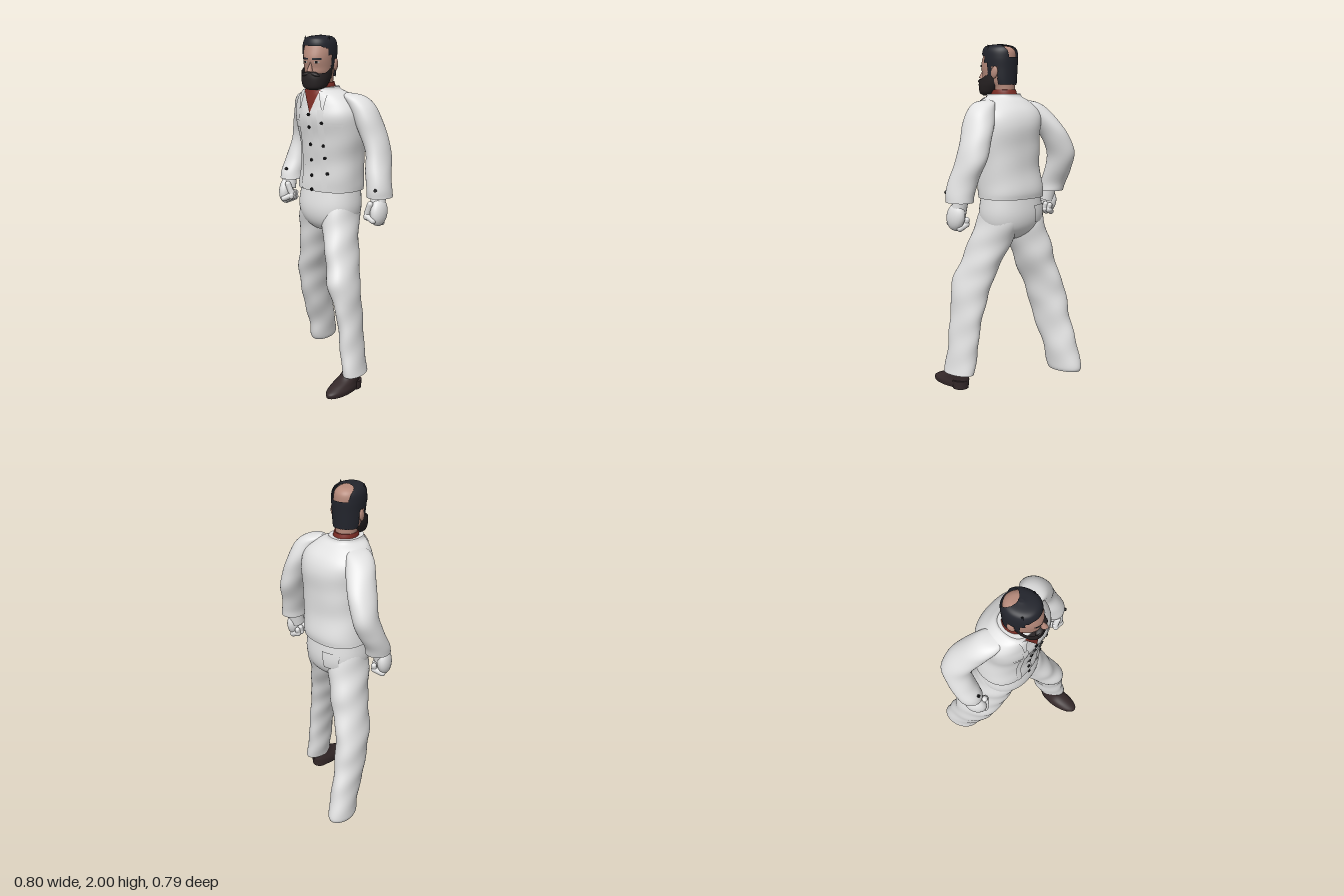
import * as THREE from 'three';

const mat = (name, color) => {
  const m = new THREE.MeshStandardMaterial({ color, side: THREE.DoubleSide });
  m.name = name;
  return m;
};

// Smooth skin over horizontal sections [x, y, z, halfWidth, halfDepth], listed bottom to top
function loft(rows, { yaw = 0, power = 2, fold = 0, seg = 40, steps = 6, keep = null } = {}) {
  const curve = f => new THREE.CatmullRomCurve3(rows.map(f), false, 'catmullrom');
  const centre = curve(r => new THREE.Vector3(r[0], r[1], r[2]));
  const radius = curve(r => new THREE.Vector3(r[3], r[4], 0));
  const n = (rows.length - 1) * steps, pos = [], index = [];
  const se = v => Math.sign(v) * Math.abs(v) ** (2 / power);
  for (let i = 0; i <= n; i++) {
    const c = centre.getPoint(i / n), r = radius.getPoint(i / n);
    for (let j = 0; j < seg; j++) {
      const a = j / seg * Math.PI * 2;
      const k = 1 + fold * (Math.sin(2 * a + c.y * 36) + 0.7 * Math.sin(3 * a - c.y * 21));
      const x = r.x * k * se(Math.cos(a)), z = r.y * k * se(Math.sin(a));
      pos.push(c.x + x * Math.cos(yaw) + z * Math.sin(yaw), c.y, c.z - x * Math.sin(yaw) + z * Math.cos(yaw));
      if (i < n) {
        const A = i * seg + j, B = i * seg + (j + 1) % seg, C = A + seg, D = B + seg;
        index.push(A, C, B, B, C, D);
      }
    }
  }
  // end caps on their own vertices, so the rims stay sharp
  for (const [i, flip] of [[0, false], [n, true]]) {
    const base = pos.length / 3;
    pos.push(...pos.slice(i * seg * 3, (i + 1) * seg * 3), ...centre.getPoint(i / n).toArray());
    for (let j = 0; j < seg; j++) {
      const a = base + j, b = base + (j + 1) % seg;
      index.push(...(flip ? [a, base + seg, b] : [a, b, base + seg]));
    }
  }
  const kept = [];
  for (let t = 0; t < index.length; t += 3) {
    const tri = index.slice(t, t + 3);
    const mid = d => (pos[tri[0] * 3 + d] + pos[tri[1] * 3 + d] + pos[tri[2] * 3 + d]) / 3;
    if (!keep || keep(mid(0), mid(1), mid(2))) kept.push(...tri);
  }
  const g = new THREE.BufferGeometry();
  g.setAttribute('position', new THREE.Float32BufferAttribute(pos, 3));
  g.setIndex(kept);
  g.computeVertexNormals();
  return g;
}

// Nearest surface point seen from the front (dir 1) or the back (dir -1)
function touch(mesh, x, y, dir = 1) {
  const ray = new THREE.Raycaster(new THREE.Vector3(x, y, 2 * dir), new THREE.Vector3(0, 0, -dir));
  return ray.intersectObject(mesh)[0];
}

// Thin sheet laid on a mesh between two side lines
function drape(mesh, y0, y1, left, right, { dir = 1, lift = 0.005 } = {}) {
  const g = new THREE.PlaneGeometry(1, 1, 8, 10), p = g.attributes.position;
  for (let i = 0; i < p.count; i++) {
    const u = p.getX(i) + 0.5, v = p.getY(i) + 0.5;
    const x = (dir > 0 ? left(v) * (1 - u) + right(v) * u : right(v) * (1 - u) + left(v) * u);
    const y = y0 + (y1 - y0) * v, hit = touch(mesh, x, y, dir);
    p.setXYZ(i, x, y, (hit ? hit.point.z : 0.1 * dir) + lift * dir);
  }
  g.computeVertexNormals();
  return g;
}

export function createModel() {
  const model = new THREE.Group();
  const white = mat('white cloth', 0xe2e2e2), skin = mat('skin', 0xb68a7b), hairCol = mat('hair', 0x23252d);
  const beardCol = mat('beard', 0x272223), red = mat('red scarf', 0x7c2d25), leather = mat('boot leather', 0x35292a);
  const dark = mat('button black', 0x151517), eyeWhite = mat('eye white', 0xb9b0aa);
  const add = (name, g, m, parent = model) => {
    const mesh = new THREE.Mesh(g, m);
    mesh.name = name;
    parent.add(mesh);
    return mesh;
  };
  const put = (mesh, x, y, z, sx = 1, sy = 1, sz = 1) => {
    mesh.position.set(x, y, z);
    mesh.scale.set(sx, sy, sz);
    return mesh;
  };

  // Jacket body, turned slightly to its right
  const torso = add('jacket', loft([
    [-0.025, 1.13, -0.02, 0.197, 0.157], [-0.02, 1.18, -0.02, 0.198, 0.158], [-0.01, 1.3, -0.01, 0.19, 0.15],
    [-0.005, 1.43, 0, 0.2, 0.158], [-0.01, 1.55, 0.008, 0.215, 0.167], [-0.02, 1.62, 0.012, 0.2, 0.15],
    [-0.035, 1.675, 0.03, 0.15, 0.117], [-0.045, 1.7, 0.04, 0.1, 0.1], [-0.046, 1.718, 0.043, 0.088, 0.095],
  ], { yaw: -0.3, power: 2.3, fold: 0.008, seg: 64 }), white);

  // Trousers: seat and striding legs
  const seat = add('trouserSeat', loft([
    [-0.02, 0.875, 0, 0.02, 0.02], [-0.02, 0.9, 0, 0.09, 0.09], [-0.025, 0.95, -0.01, 0.165, 0.14], [-0.028, 1.03, -0.015, 0.192, 0.158],
    [-0.025, 1.15, -0.02, 0.182, 0.145],
  ], { yaw: -0.3, power: 2.2 }), white);
  add('leftTrouserLeg', loft([
    [0.228, 0.095, 0.18, 0.062, 0.1], [0.21, 0.2, 0.172, 0.063, 0.1], [0.2, 0.3, 0.167, 0.062, 0.1],
    [0.185, 0.4, 0.16, 0.065, 0.104], [0.168, 0.5, 0.155, 0.07, 0.113], [0.14, 0.62, 0.15, 0.085, 0.13],
    [0.115, 0.72, 0.113, 0.088, 0.127], [0.092, 0.82, 0.08, 0.09, 0.132], [0.065, 0.93, 0.035, 0.1, 0.137],
    [0.053, 1.03, 0, 0.103, 0.135], [0.045, 1.12, -0.005, 0.095, 0.115],
  ], { fold: 0.024 }), white);
  add('rightTrouserLeg', loft([
    [-0.213, 0.082, -0.285, 0.064, 0.104], [-0.213, 0.11, -0.281, 0.072, 0.111], [-0.21, 0.2, -0.26, 0.073, 0.109], [-0.211, 0.3, -0.225, 0.076, 0.115],
    [-0.211, 0.4, -0.19, 0.08, 0.12], [-0.205, 0.5, -0.165, 0.085, 0.125], [-0.197, 0.6, -0.138, 0.088, 0.13],
    [-0.165, 0.72, -0.105, 0.095, 0.13], [-0.142, 0.82, -0.085, 0.103, 0.133], [-0.12, 0.93, -0.055, 0.112, 0.135],
    [-0.104, 1.03, -0.035, 0.112, 0.135], [-0.095, 1.12, -0.035, 0.105, 0.12],
  ], { fold: 0.024 }), white);

  // Sleeves with cuffs, their rounded tops tucked into the shoulders
  const leftSleeve = add('leftSleeve', loft([
    [0.332, 1.13, 0.092, 0.069, 0.083], [0.328, 1.18, 0.09, 0.069, 0.086], [0.313, 1.26, 0.072, 0.068, 0.091],
    [0.297, 1.36, 0.036, 0.068, 0.094], [0.265, 1.46, 0.03, 0.072, 0.094], [0.224, 1.56, 0.035, 0.077, 0.092],
    [0.188, 1.63, 0.042, 0.073, 0.08], [0.15, 1.672, 0.046, 0.056, 0.06], [0.115, 1.688, 0.046, 0.012, 0.012],
  ], { fold: 0.015 }), white);
  const rightSleeve = add('rightSleeve', loft([
    [-0.333, 1.14, -0.11, 0.069, 0.074], [-0.333, 1.19, -0.125, 0.069, 0.076], [-0.318, 1.27, -0.165, 0.068, 0.082],
    [-0.297, 1.37, -0.195, 0.069, 0.085], [-0.265, 1.47, -0.172, 0.074, 0.089], [-0.225, 1.56, -0.118, 0.078, 0.092],
    [-0.195, 1.63, -0.07, 0.073, 0.084], [-0.165, 1.668, -0.04, 0.056, 0.064], [-0.135, 1.684, -0.02, 0.012, 0.012],
  ], { fold: 0.015 }), white);

  // Fists: palm, four curled fingers and a thumb
  for (const [side, s, x, y, z, yaw] of [['left', 1, 0.324, 1.052, 0.11, -0.2], ['right', -1, -0.34, 1.072, -0.072, 0.2]]) {
    const hand = new THREE.Group();
    hand.name = side + 'Hand';
    hand.position.set(x, y, z);
    hand.rotation.set(-0.25, yaw, 0);
    hand.scale.setScalar(1.12);
    model.add(hand);
    add('wrist', new THREE.CylinderGeometry(0.036, 0.04, 0.1, 16), white, hand).position.y = 0.06;
    put(add('palm', new THREE.SphereGeometry(1, 20, 14), white, hand), s * 0.012, -0.005, 0, 0.036, 0.07, 0.056);
    for (let i = 0; i < 4; i++) {
      const f = put(add('finger', new THREE.CapsuleGeometry(0.0155, 0.045, 4, 10), white, hand), -s * 0.012, -0.052 + Math.abs(i - 1.7) * 0.006, 0.038 - i * 0.026);
      f.rotation.z = s * 1.1;
      put(add('fingertip', new THREE.CapsuleGeometry(0.014, 0.028, 4, 10), white, hand), -s * 0.032, -0.025, 0.038 - i * 0.025);
    }
    const thumb = put(add('thumb', new THREE.CapsuleGeometry(0.016, 0.05, 4, 10), white, hand), -s * 0.02, 0.005, 0.044);
    thumb.rotation.set(0.3, 0, -s * 0.4);
  }

  // Boot under the leading leg
  add('bootFoot', loft([
    [0.19, 0.006, 0.263, 0.056, 0.135], [0.19, 0.03, 0.262, 0.059, 0.135], [0.195, 0.055, 0.238, 0.055, 0.113],
    [0.207, 0.085, 0.205, 0.049, 0.076], [0.215, 0.12, 0.19, 0.046, 0.064], [0.218, 0.2, 0.18, 0.045, 0.058],
  ], { yaw: -0.2 }), leather);
  put(add('bootHeel', new THREE.CylinderGeometry(0.05, 0.046, 0.05, 20), leather), 0.216, 0.025, 0.178);

  // Jacket details: front edges, pocket flaps, lapels, back pocket
  const line = (a, b) => v => a + (b - a) * v;
  add('jacketEdgeLeft', drape(torso, 1.135, 1.6, line(0.0, -0.012), line(0.035, 0.03)), white);
  add('jacketEdgeRight', drape(torso, 1.135, 1.6, line(-0.15, -0.15), line(-0.125, -0.12)), white);
  add('vestEdge', drape(torso, 1.14, 1.58, line(-0.088, -0.083), line(-0.05, -0.05), { lift: 0.003 }), white);
  for (const [a, b] of [[-0.19, -0.13], [0.045, 0.14]])
    add('chestPocketFlap', drape(torso, 1.49, 1.53, v => a + (1 - v) * 0.008, v => b - (1 - v) * 0.008), white);
  add('backPocket', drape(seat, 0.99, 1.09, line(-0.12, -0.13), line(-0.03, -0.02), { dir: -1, lift: 0.008 }), white);

  // Neck scarf and its hanging point, framed by lapels
  add('scarfBand', loft([[-0.046, 1.67, 0.042, 0.072, 0.085], [-0.046, 1.72, 0.042, 0.069, 0.076], [-0.046, 1.742, 0.042, 0.064, 0.07]]), red);
  add('scarfPoint', drape(torso, 1.58, 1.705, line(-0.066, -0.118), line(-0.064, -0.008), { lift: 0.006 }), red);
  add('lapelLeft', drape(torso, 1.6, 1.7, line(0.018, -0.015), line(0.03, 0.04), { lift: 0.01 }), white);
  add('lapelRight', drape(torso, 1.6, 1.7, line(-0.145, -0.145), line(-0.135, -0.11), { lift: 0.01 }), white);

  // Buttons
  const button = (mesh, x, y) => {
    const hit = touch(mesh, x, y);
    if (!hit) return;
    const b = add('button', new THREE.CylinderGeometry(0.009, 0.009, 0.009, 12), dark);
    b.position.copy(hit.point).addScaledVector(hit.face.normal, 0.005);
    b.quaternion.setFromUnitVectors(new THREE.Vector3(0, 1, 0), hit.face.normal);
  };
  for (const y of [1.57, 1.5, 1.4, 1.31, 1.22, 1.14]) button(torso, -0.07, y);
  for (const [x, y] of [[0.02, 1.53], [0.02, 1.4], [0.024, 1.33], [0.036, 1.24]]) button(torso, x, y);
  button(leftSleeve, 0.34, 1.18);
  button(rightSleeve, -0.34, 1.2);

  // Head and neck
  const hx = -0.048;
  const head = add('head', loft([
    [hx, 1.67, 0.04, 0.06, 0.06], [hx, 1.75, 0.042, 0.06, 0.063], [hx, 1.79, 0.075, 0.073, 0.098],
    [hx, 1.83, 0.079, 0.079, 0.101], [hx, 1.875, 0.081, 0.082, 0.106], [hx, 1.92, 0.075, 0.083, 0.101], [hx, 1.96, 0.069, 0.073, 0.089],
    [hx, 1.983, 0.065, 0.045, 0.058], [hx, 1.988, 0.065, 0.01, 0.015],
  ]), skin);
  const nose = add('nose', new THREE.ConeGeometry(0.017, 0.062, 12), skin);
  put(nose, hx, 1.836, 0.187, 1, 1, 1.3).rotation.x = -0.2;
  for (const s of [-1, 1]) {
    put(add('ear', new THREE.SphereGeometry(1, 14, 10), skin), hx + s * 0.087, 1.84, 0.052, 0.011, 0.035, 0.022).rotation.x = -0.2;
    const eyeX = hx + s * 0.034, strip = (y0, y1, x0, x1, lift) => drape(head, y0, y1, line(x0, x0), line(x1, x1), { lift });
    add('eye', strip(1.853, 1.863, eyeX - 0.013, eyeX + 0.013, 0.002), eyeWhite);
    add('iris', strip(1.853, 1.864, eyeX - 0.006, eyeX + 0.006, 0.004), dark);
    add('eyebrow', strip(1.871, 1.881, eyeX - 0.022, eyeX + 0.022, 0.005), hairCol);
  }

  // Hair with receding temples and a bare patch on the crown
  const hairline = (x, z) => {
    if (z > 0.125) return 1.945 - Math.max(0, Math.abs(x - hx) - 0.05) * 0.6;
    return z > 0.1 ? 1.895 : z > 0.07 ? 1.82 : z > 0.035 ? 1.872 : 1.77;
  };
  add('hair', loft([
    [hx, 1.755, 0.035, 0.07, 0.062], [hx, 1.8, 0.062, 0.083, 0.092], [hx, 1.86, 0.071, 0.089, 0.104],
    [hx, 1.92, 0.07, 0.092, 0.106], [hx, 1.965, 0.07, 0.086, 0.102], [hx, 1.99, 0.07, 0.062, 0.08], [hx, 1.999, 0.066, 0.01, 0.015],
  ], {
    power: 2.1, seg: 72, steps: 10,
    keep: (x, y, z) => y > hairline(x, z) && !(y > 1.925 && ((x - hx) / 0.056) ** 2 + ((z - 0.003) / 0.05) ** 2 < 1),
  }), hairCol);
  for (const s of [-1, 1])
    put(add('hairTuft', new THREE.ConeGeometry(0.02, 0.05, 8), hairCol), hx + s * 0.07, 1.972, 0.105).rotation.z = -s * 0.15;

  // Full beard and moustache
  add('beard', loft([
    [hx, 1.708, 0.145, 0.035, 0.035], [hx, 1.722, 0.135, 0.062, 0.06], [hx, 1.755, 0.122, 0.076, 0.078],
    [hx, 1.79, 0.11, 0.082, 0.088], [hx, 1.845, 0.1, 0.085, 0.085],
  ], { power: 2.2, seg: 64, steps: 10, keep: (x, y, z) => y < (z > 0.155 ? 1.8 : 1.8 + (0.155 - z) * 0.5) && z > 0.04 }), beardCol);
  for (const s of [-1, 1])
    put(add('moustache', new THREE.SphereGeometry(1, 14, 10), beardCol), hx + s * 0.024, 1.793, 0.178, 0.032, 0.012, 0.021).rotation.z = -s * 0.25;

  return model;
}
